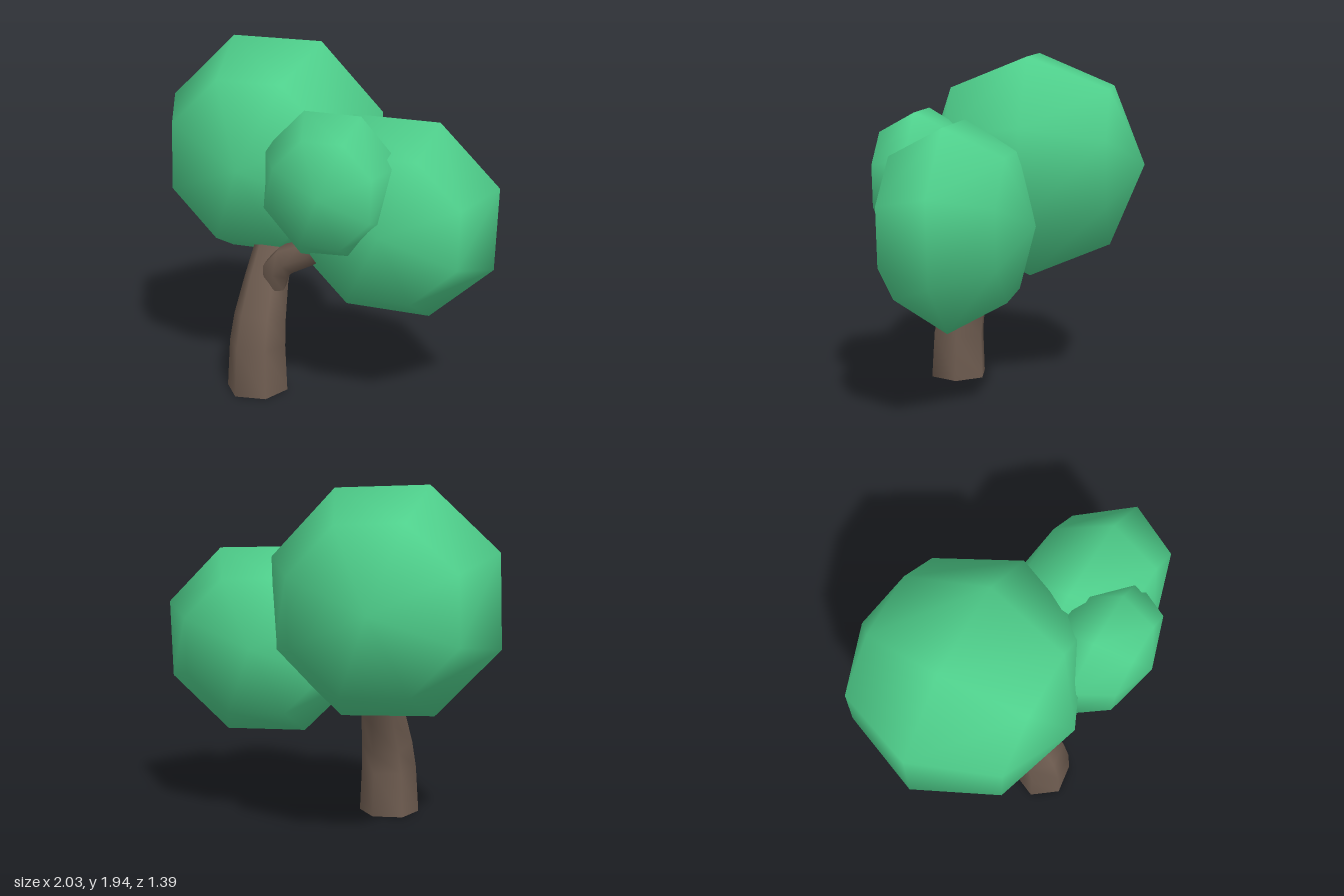
import * as THREE from 'three';
import { mergeVertices } from 'three/addons/utils/BufferGeometryUtils.js';

const bark = new THREE.MeshStandardMaterial({ color: 0x6e5c50 });
const leaf = new THREE.MeshStandardMaterial({ color: 0x4fd08c });
const V = (x, y, z) => new THREE.Vector3(x, y, z);

// Tapered limb: six-sided rings [x, y, z, radius] set square to the path, with capped ends
function limb(name, rings, hint, startTangent) {
  const sides = 6;
  const centres = rings.map(([x, y, z]) => V(x, y, z));
  const pos = [];
  const index = [];
  rings.forEach(([, , , r], i) => {
    const last = rings.length - 1;
    const tangent = i === 0 && startTangent
      ? startTangent.clone()
      : centres[Math.min(i + 1, last)].clone().sub(centres[Math.max(i - 1, 0)]).normalize();
    const s = hint.clone().addScaledVector(tangent, -hint.dot(tangent)).normalize();
    const t = tangent.clone().cross(s);
    for (let k = 0; k < sides; k++) {
      const a = ((k + 0.25) / sides) * Math.PI * 2;
      const p = centres[i].clone().addScaledVector(s, r * Math.cos(a)).addScaledVector(t, r * Math.sin(a));
      pos.push(p.x, p.y, p.z);
    }
    if (i === last) return;
    for (let k = 0; k < sides; k++) {
      const a = i * sides + k;
      const b = i * sides + ((k + 1) % sides);
      index.push(a, b, a + sides, b, b + sides, a + sides);
    }
  });
  // end caps use their own corners so the rims stay sharp
  const top = (rings.length - 1) * sides;
  for (const [from, flip] of [[0, true], [top, false]]) {
    const start = pos.length / 3;
    for (let k = 0; k < sides * 3; k++) pos.push(pos[from * 3 + k]);
    for (let k = 1; k < sides - 1; k++) {
      index.push(start, start + (flip ? k + 1 : k), start + (flip ? k : k + 1));
    }
  }
  const geo = new THREE.BufferGeometry();
  geo.setAttribute('position', new THREE.Float32BufferAttribute(pos, 3));
  geo.setIndex(index);
  geo.computeVertexNormals();
  const mesh = new THREE.Mesh(geo, bark);
  mesh.name = name;
  return mesh;
}

// Leaf clump: a coarse tilted sphere stretched along the world axes
function clump(name, centre, scale) {
  let geo = new THREE.SphereGeometry(1, 8, 4);
  geo.deleteAttribute('uv');
  geo.deleteAttribute('normal');
  geo.applyMatrix4(new THREE.Matrix4().makeBasis(
    V(0.28, 0.622, -0.04), V(-0.115, -0.005, -0.637), V(-0.613, 0.28, 0.108)));
  geo.scale(...scale);
  geo = mergeVertices(geo, 1e-4);
  geo.computeVertexNormals();
  const mesh = new THREE.Mesh(geo, leaf);
  mesh.position.set(...centre);
  mesh.name = name;
  return mesh;
}

export function createModel() {
  const tree = new THREE.Group();
  tree.name = 'tree';

  // trunk leaning backward as it rises, with a branch to the left
  tree.add(limb('trunk', [
    [-0.27, 0, 0.388, 0.176],
    [-0.268, 0.27, 0.383, 0.162],
    [-0.265, 0.42, 0.355, 0.15],
    [-0.265, 0.62, 0.275, 0.128],
    [-0.27, 0.85, 0.14, 0.11],
    [-0.28, 1.0, 0.06, 0.1],
  ], V(1, 0, 0), V(0, 1, 0)));
  tree.add(limb('branch', [
    [-0.19, 0.6, 0.31, 0.065],
    [-0.17, 0.71, 0.32, 0.085],
    [-0.1, 0.78, 0.33, 0.085],
    [0.04, 0.84, 0.33, 0.075],
    [0.18, 0.92, 0.33, 0.065],
  ], V(0, 0, 1)));

  // leaf clumps
  tree.add(clump('largeLeafClump', [-0.385, 1.305, -0.06], [1, 1, 1]));
  tree.add(clump('leftLeafClump', [0.435, 1.04, 0.12], [0.92, 0.86, 0.65]));
  tree.add(clump('frontLeafClump', [0.205, 1.245, 0.404], [0.6, 0.62, 0.45]));

  return tree;
}
